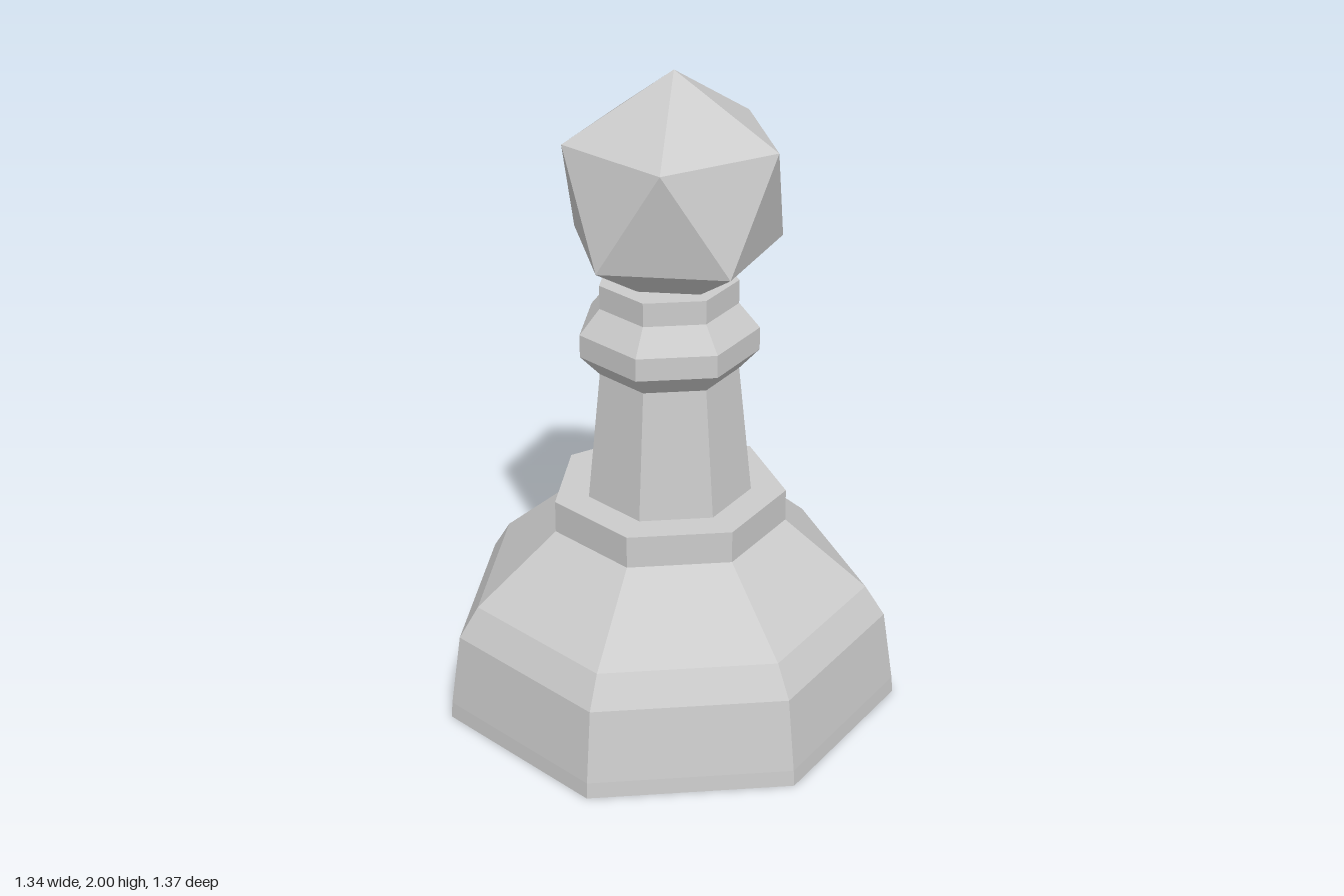
import * as THREE from 'three';

const SIDES = 7;
const AXIS_X = -0.035; // a heptagon's bounds are off its own centre

const material = new THREE.MeshStandardMaterial({ color: 0xcccccc, flatShading: true });

// Closed seven-sided turning from [radius, y] pairs, one corner towards +x
function turned(name, profile) {
  const points = [[0, profile[0][1]], ...profile, [0, profile.at(-1)[1]]]
    .map(([r, y]) => new THREE.Vector2(r, y));
  const mesh = new THREE.Mesh(new THREE.LatheGeometry(points, SIDES, Math.PI / 2), material);
  mesh.name = name;
  mesh.position.x = AXIS_X;
  return mesh;
}

export function createModel() {
  const pawn = new THREE.Group();
  pawn.name = 'pawn';

  pawn.add(
    turned('base', [[0.704, 0], [0.7, 0.05], [0.668, 0.275], [0.608, 0.37], [0.358, 0.587]]),
    turned('baseCollar', [[0.358, 0.587], [0.358, 0.687]]),
    turned('stem', [[0.252, 0.687], [0.212, 1.088]]),
    turned('neckRing', [[0.212, 1.088], [0.272, 1.152], [0.272, 1.222], [0.21, 1.297]]),
    turned('neckCollar', [[0.21, 1.297], [0.21, 1.37]]),
  );

  // Faceted head, tipped so that one corner points straight up
  const headGeometry = new THREE.IcosahedronGeometry(0.363, 0);
  headGeometry.rotateX(-Math.atan((1 + Math.sqrt(5)) / 2));
  const head = new THREE.Mesh(headGeometry, material);
  head.name = 'head';
  head.position.set(-0.017, 1.637, -0.005);
  pawn.add(head);

  return pawn;
}
